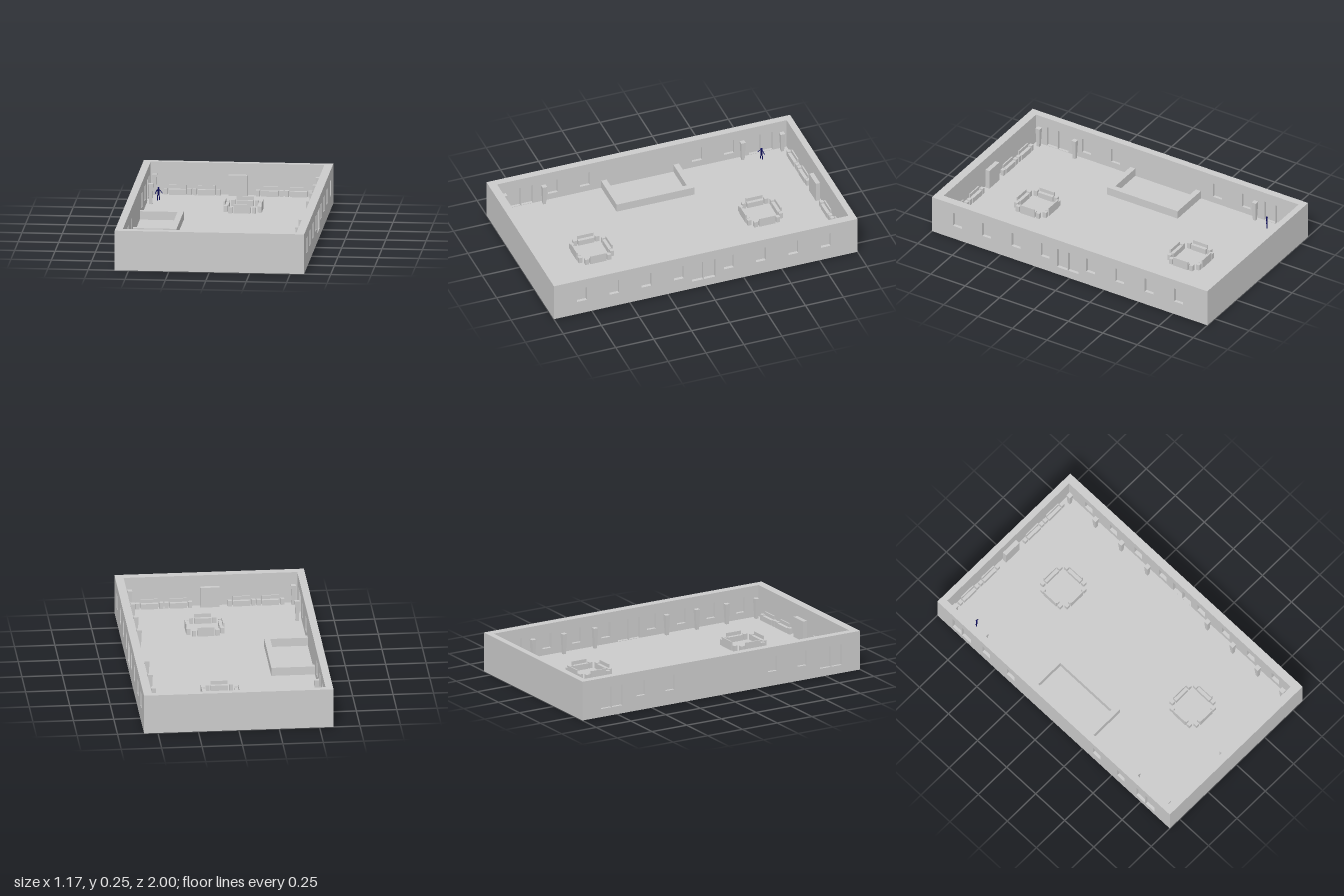
import * as THREE from 'three';

const grey = new THREE.MeshStandardMaterial({ color: 0xcccccc, flatShading: true });
const navy = new THREE.MeshStandardMaterial({ color: 0x0a0a5a });

const FLOOR = 0.05, TOP = 0.25;
const OUT = { x0: -0.586, x1: 0.586, z0: -1, z1: 1 };
const IN = { x0: -0.54, x1: 0.534, z0: -0.96, z1: 0.947 };

function add(parent, name, geometry, material = grey) {
  const mesh = new THREE.Mesh(geometry, material);
  mesh.name = name;
  parent.add(mesh);
  return mesh;
}

// Box given by its extents
function block(parent, name, x0, x1, y0, y1, z0, z1) {
  const mesh = add(parent, name, new THREE.BoxGeometry(x1 - x0, y1 - y0, z1 - z0));
  mesh.position.set((x0 + x1) / 2, (y0 + y1) / 2, (z0 + z1) / 2);
  return mesh;
}

// Long side wall with through openings, each holding a thin pane midway
function sideWall(parent, name, x0, x1, openings) {
  const group = new THREE.Group();
  group.name = name;
  parent.add(group);
  const shape = new THREE.Shape();
  shape.moveTo(-1, 0).lineTo(1, 0).lineTo(1, TOP).lineTo(-1, TOP).closePath();
  const mid = (x0 + x1) / 2;
  for (const { z, w, y0, y1, label } of openings) {
    const hole = new THREE.Path();
    hole.moveTo(-z - w / 2, y0).lineTo(-z - w / 2, y1).lineTo(-z + w / 2, y1).lineTo(-z + w / 2, y0).closePath();
    shape.holes.push(hole);
    block(group, label, mid - 0.005, mid + 0.005, y0, y1, z - w / 2, z + w / 2);
  }
  const wall = add(group, 'wallPanel', new THREE.ExtrudeGeometry(shape, { depth: x1 - x0, bevelEnabled: false }));
  wall.rotation.y = Math.PI / 2;
  wall.position.x = x0;
}

const windowAt = z => ({ z, w: 0.064, y0: 0.092, y1: 0.188, label: 'windowPane' });
const doorAt = z => [-0.04, 0.04].map(d => ({ z: z + d, w: 0.075, y0: 0.052, y1: 0.185, label: 'doorLeaf' }));

// Bench along local x, its back rest toward -z, with a low end block at each side
function bench(parent, x, z, turn, endGap = 0.073) {
  const group = new THREE.Group();
  group.name = 'bench';
  block(group, 'seat', -0.053, 0.053, FLOOR, 0.085, -0.007, 0.014);
  block(group, 'backRest', -0.053, 0.053, FLOOR, 0.108, -0.015, -0.007);
  for (const s of [-1, 1]) {
    const e = s * endGap;
    block(group, 'endBlock', e - 0.012, e + 0.012, FLOOR, 0.088, -0.012, 0.012);
  }
  group.position.set(x, 0, z);
  group.rotation.y = turn;
  parent.add(group);
}

// Square ring of four benches facing inward
function benchRing(parent, cx, cz) {
  const ring = new THREE.Group();
  ring.name = 'benchRing';
  for (let i = 0; i < 4; i++) {
    const a = i * Math.PI / 2;
    bench(ring, -Math.sin(a) * 0.104, -Math.cos(a) * 0.104, a);
  }
  ring.position.set(cx, 0, cz);
  parent.add(ring);
}

// Small standing figure
function figure(parent, x, z) {
  const person = new THREE.Group();
  person.name = 'visitor';
  const limb = (name, a, b, r) => {
    const path = new THREE.LineCurve3(new THREE.Vector3(...a), new THREE.Vector3(...b));
    add(person, name, new THREE.TubeGeometry(path, 1, r, 6), navy);
  };
  add(person, 'head', new THREE.SphereGeometry(0.006, 10, 8), navy).position.y = 0.076;
  const torso = add(person, 'torso', new THREE.CylinderGeometry(0.009, 0.006, 0.03, 8), navy);
  torso.position.y = 0.053;
  torso.scale.z = 0.6;
  for (const s of [-1, 1]) {
    limb('leg', [s * 0.004, 0.04, 0], [s * 0.008, 0, 0], 0.003);
    limb('upperArm', [s * 0.008, 0.066, 0], [s * 0.018, 0.053, 0], 0.0022);
    limb('forearm', [s * 0.018, 0.053, 0], [s * 0.025, 0.042, 0.005], 0.002);
  }
  person.position.set(x, FLOOR, z);
  person.rotation.y = 0.55;
  parent.add(person);
}

export function createModel() {
  const model = new THREE.Group();
  model.name = 'hall';

  // Shell
  block(model, 'floor', IN.x0, IN.x1, 0, FLOOR, IN.z0, IN.z1);
  block(model, 'backWall', IN.x0, IN.x1, 0, TOP, OUT.z0, IN.z0);
  block(model, 'frontWall', IN.x0, IN.x1, 0, TOP, IN.z1, OUT.z1);
  sideWall(model, 'leftWall', IN.x1, OUT.x1,
    [...[0.815, 0.603, 0.39, 0.177, -0.152, -0.364, -0.577, -0.79].map(windowAt), ...doorAt(0.014)]);
  sideWall(model, 'rightWall', OUT.x0, IN.x0,
    [...[0.58, 0.37, -0.37, -0.58].map(windowAt), ...doorAt(0.79), ...doorAt(-0.79)]);

  // U-shaped counter against the right wall
  const counter = new THREE.Shape();
  [[-0.54, 0.25], [-0.54, 0.214], [-0.307, 0.214], [-0.307, -0.226], [-0.54, -0.226],
    [-0.54, -0.262], [-0.27, -0.262], [-0.27, 0.25]]
    .forEach(([x, y], i) => (i ? counter.lineTo(x, y) : counter.moveTo(x, y)));
  const desk = add(model, 'counter', new THREE.ExtrudeGeometry(counter, { depth: 0.053, bevelEnabled: false }));
  desk.rotation.x = -Math.PI / 2;
  desk.position.y = FLOOR;

  // Pedestals that widen upward
  const pedestal = new THREE.CylinderGeometry(0.0212, 0.013, 0.13, 4).rotateY(Math.PI / 4);
  const rows = [[-0.512, [-0.92, -0.66, 0.648, 0.91]],
    [0.5, [-0.92, -0.698, -0.476, -0.252, 0.265, 0.482, 0.697, 0.91]]];
  for (const [x, zs] of rows)
    for (const z of zs) add(model, 'pedestal', pedestal).position.set(x, FLOOR + 0.065, z);

  // Benches and a display panel along both end walls
  for (const [z, turn] of [[-0.939, 0], [0.925, Math.PI]]) {
    for (const x of [-0.372, -0.193, 0.198, 0.377]) bench(model, x, z, turn);
    block(model, 'displayPanel', -0.056, 0.06, FLOOR, 0.18, z - 0.014, z + 0.014);
  }

  benchRing(model, 0.071, -0.557);
  benchRing(model, 0.071, 0.556);
  figure(model, -0.475, -0.77);
  return model;
}
